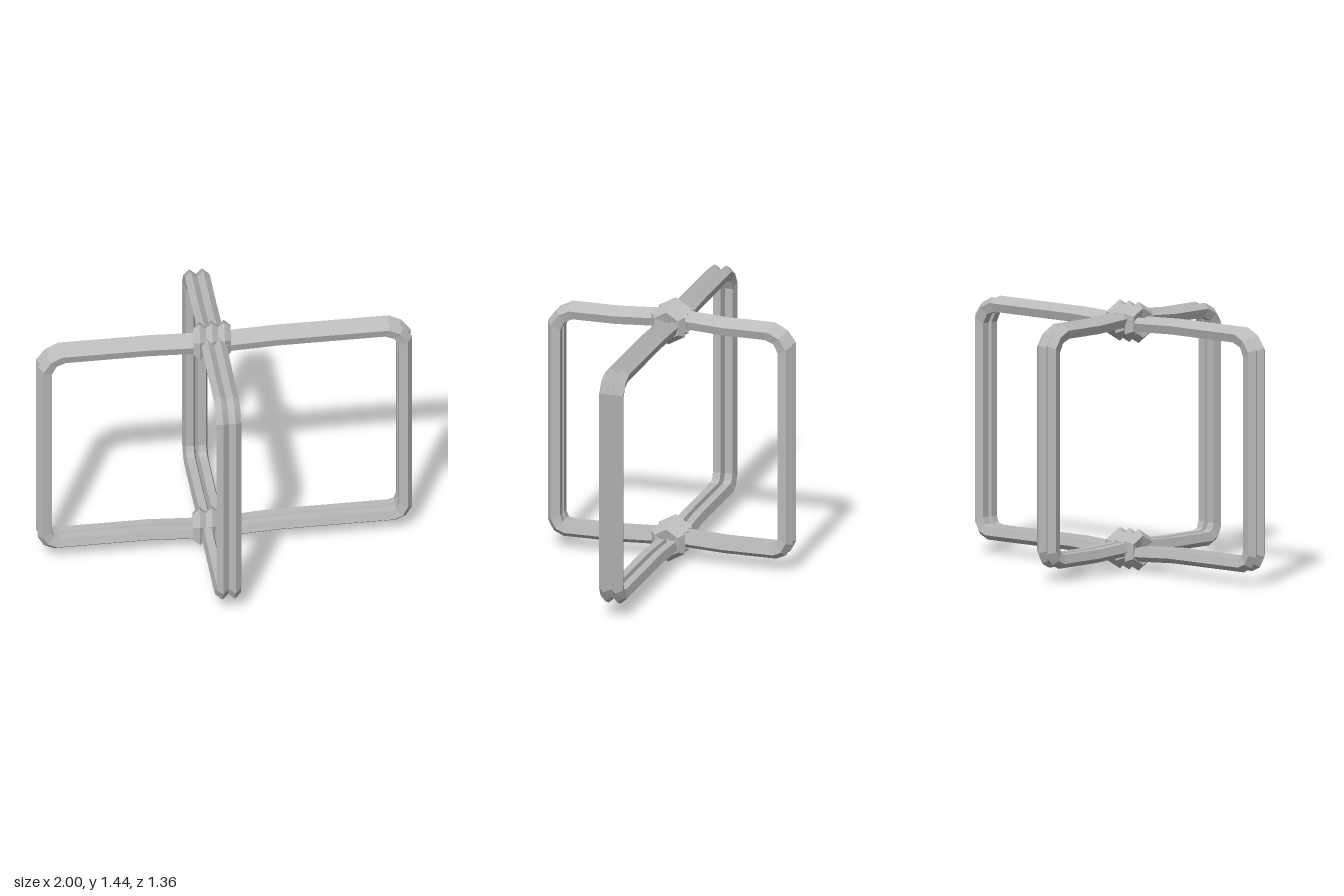
import * as THREE from 'three';

// Five-sided rope section: [outward, sideways], ridge facing out, flat side facing in
const SECTION = [[0.037, 0], [0.009, 0.034], [-0.037, 0.021], [-0.037, -0.021], [0.009, -0.034]];

// Sweep the section round a closed counter-clockwise path of [u, y] points.
// offset = sideways position, slant = sideways lean along u
function ropeLoop(path, offset = 0, slant = 0) {
  const n = path.length, sides = SECTION.length, pos = [], index = [];
  const pts = path.map(([u, y]) => new THREE.Vector2(u, y));
  pts.forEach((p, i) => {
    const j = (i + 1) % n;
    const d0 = p.clone().sub(pts[(i + n - 1) % n]);
    const d1 = pts[j].clone().sub(p);
    const n0 = new THREE.Vector2(d0.y, -d0.x).normalize();
    const n1 = new THREE.Vector2(d1.y, -d1.x).normalize();
    // Short segments steer the joint, so the corners fan out
    const m = n0.clone().divideScalar(d0.length())
      .addScaledVector(n1, 1 / d1.length()).normalize();
    const k = 1 / Math.min(m.dot(n0), m.dot(n1));
    SECTION.forEach(([out, side], s) => {
      const u = p.x + m.x * k * out;
      pos.push(u, p.y + m.y * k * out, offset + side + slant * u);
      const t = (s + 1) % sides;
      const a = i * sides, b = j * sides;
      index.push(a + s, b + s, b + t, a + s, b + t, a + t);
    });
  });
  const g = new THREE.BufferGeometry();
  g.setAttribute('position', new THREE.Float32BufferAttribute(pos, 3));
  g.setIndex(index);
  const flat = g.toNonIndexed();
  flat.computeVertexNormals();
  return flat;
}

// Rounded rectangular frame whose top and bottom bars bend near the crossing
function framePath(w, centre, bend, topMid, bottomMid) {
  const top = 1.335, bottom = 0.11;
  const lower = [[0, 0.065], [0.023, 0.018], [0.065, 0]];
  const upper = [[0, 0.085], [0.036, 0.028], [0.095, 0]];
  const bar = (y, mid, dir) => [[-bend, y], [-0.09, mid], [0.09, mid], [bend, y]]
    .map(([u, v]) => [centre + dir * u, v]);
  return [
    ...bar(bottom, bottomMid, 1),
    ...lower.slice().reverse().map(([u, y]) => [w - u, bottom + y]),
    ...upper.map(([u, y]) => [w - u, top - y]),
    ...bar(top, topMid, -1),
    ...upper.slice().reverse().map(([u, y]) => [-w + u, top - y]),
    ...lower.map(([u, y]) => [-w + u, bottom + y]),
  ];
}

export function createModel() {
  const model = new THREE.Group();
  const grey = new THREE.MeshStandardMaterial({ color: 0xbababa });
  grey.name = 'ropeGrey';
  const CX = -0.065; // where the two frames cross

  const add = (name, geometry, parent) => {
    const mesh = new THREE.Mesh(geometry, grey);
    mesh.name = name;
    parent.add(mesh);
  };

  // Wide frame along x, two ropes side by side
  const wide = new THREE.Group();
  wide.name = 'wideFrame';
  const widePath = framePath(0.963, CX, 0.34, 1.325, 0.095);
  for (const s of [-1, 1]) add('wideRope', ropeLoop(widePath, s * 0.033), wide);

  // Narrow frame along z
  const narrow = new THREE.Group();
  narrow.name = 'narrowFrame';
  narrow.rotation.y = -Math.PI / 2;
  narrow.position.x = CX;
  const narrowPath = framePath(0.643, 0, 0.3, 1.348, 0.12);
  for (const s of [-1, 1]) add('narrowRope', ropeLoop(narrowPath, s * 0.033), narrow);
  model.add(wide, narrow);

  // Lashings: three hexagonal turns of rope at each crossing
  const hexagon = Array.from({ length: 6 }, (_, i) => {
    const a = Math.PI / 6 + i * Math.PI / 3;
    return [0.068 * Math.cos(a), 0.068 * Math.sin(a)];
  });
  for (const [name, y] of [['topLashing', 1.33], ['bottomLashing', 0.115]]) {
    const lashing = new THREE.Group();
    lashing.name = name;
    lashing.rotation.y = -Math.PI / 2;
    lashing.position.set(CX, y, 0);
    for (const s of [-1, 0, 1]) add('lashingTurn', ropeLoop(hexagon, s * 0.066, 0.1), lashing);
    model.add(lashing);
  }
  return model;
}
